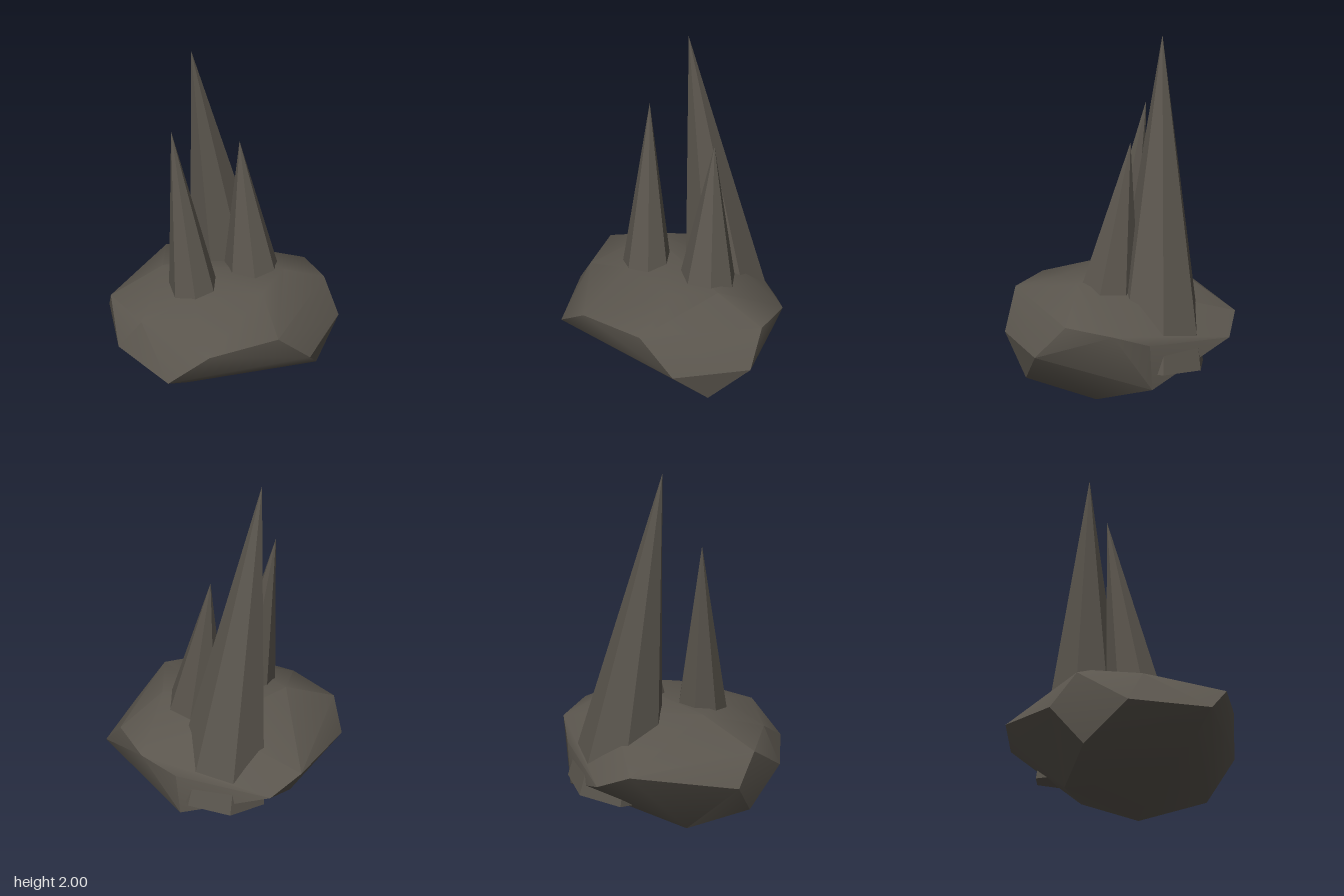
import * as THREE from 'three';
import { ConvexGeometry } from 'three/addons/geometries/ConvexGeometry.js';
import { toCreasedNormals } from 'three/addons/utils/BufferGeometryUtils.js';

const UP = new THREE.Vector3(0, 1, 0);

// Leaning seven-sided spike from a base centre to a tip; turn is a rim corner's angle from +x to +z
function makeSpike(name, base, tip, radius, turn, material) {
  const from = new THREE.Vector3(...base);
  const axis = new THREE.Vector3(...tip).sub(from);
  const height = axis.length();
  const geometry = new THREE.ConeGeometry(radius, height, 7, 1, false, THREE.MathUtils.degToRad(90 - turn));
  geometry.translate(0, height / 2, 0);
  const spike = new THREE.Mesh(geometry, material);
  spike.name = name;
  spike.quaternion.setFromUnitVectors(UP, axis.normalize());
  spike.position.copy(from);
  return spike;
}

export function createModel() {
  const group = new THREE.Group();
  group.name = 'spikedRock';

  const stone = new THREE.MeshStandardMaterial({ color: 0x5a554d });
  stone.name = 'dark stone';
  const facetedStone = stone.clone();
  facetedStone.flatShading = true;

  // Boulder: convex hull of its main corners, with soft shading broken at sharp ridges
  const corners = [
    // top
    [-0.34, 0.655, 0.04], [0.34, 0.655, -0.2], [-0.05, 0.63, 0.25], [0, 0.61, -0.38], [0.3, 0.64, 0.05],
    // shoulder
    [0.18, 0.505, 0.555], [0.49, 0.535, 0.29], [-0.59, 0.505, 0.25], [0.53, 0.51, -0.41],
    [0.34, 0.48, -0.595], [-0.55, 0.43, -0.455], [-0.58, 0.42, -0.23], [-0.3, 0.52, 0.43],
    // waist
    [-0.03, 0.33, 0.66], [-0.435, 0.33, 0.475], [-0.67, 0.33, 0.13], [0.635, 0.33, 0.135],
    [0.665, 0.33, -0.31], [-0.41, 0.34, -0.6], [0.13, 0.4, -0.625],
    // underside
    [-0.54, 0.13, 0.25], [0.61, 0.12, -0.08], [0.11, 0.14, -0.62], [0, 0.18, 0.45],
    [0, 0.08, 0.2], [-0.41, 0.005, -0.08], [0.28, 0, -0.3],
  ].map((p) => new THREE.Vector3(...p));
  const boulder = new THREE.Mesh(toCreasedNormals(new ConvexGeometry(corners), 0.65), stone);
  boulder.name = 'boulder';
  group.add(boulder);

  // Three spikes, the tallest passing down behind the boulder
  group.add(
    makeSpike('tallSpike', [-0.06, 0.18, -0.39], [-0.225, 2, -0.155], 0.285, -65.8, facetedStone),
    makeSpike('frontSpike', [-0.1, 0.55, 0.12], [-0.255, 1.6, 0.06], 0.155, 10, facetedStone),
    makeSpike('sideSpike', [0.143, 0.55, -0.19], [0.03, 1.44, -0.245], 0.18, 9, facetedStone),
  );
  return group;
}
